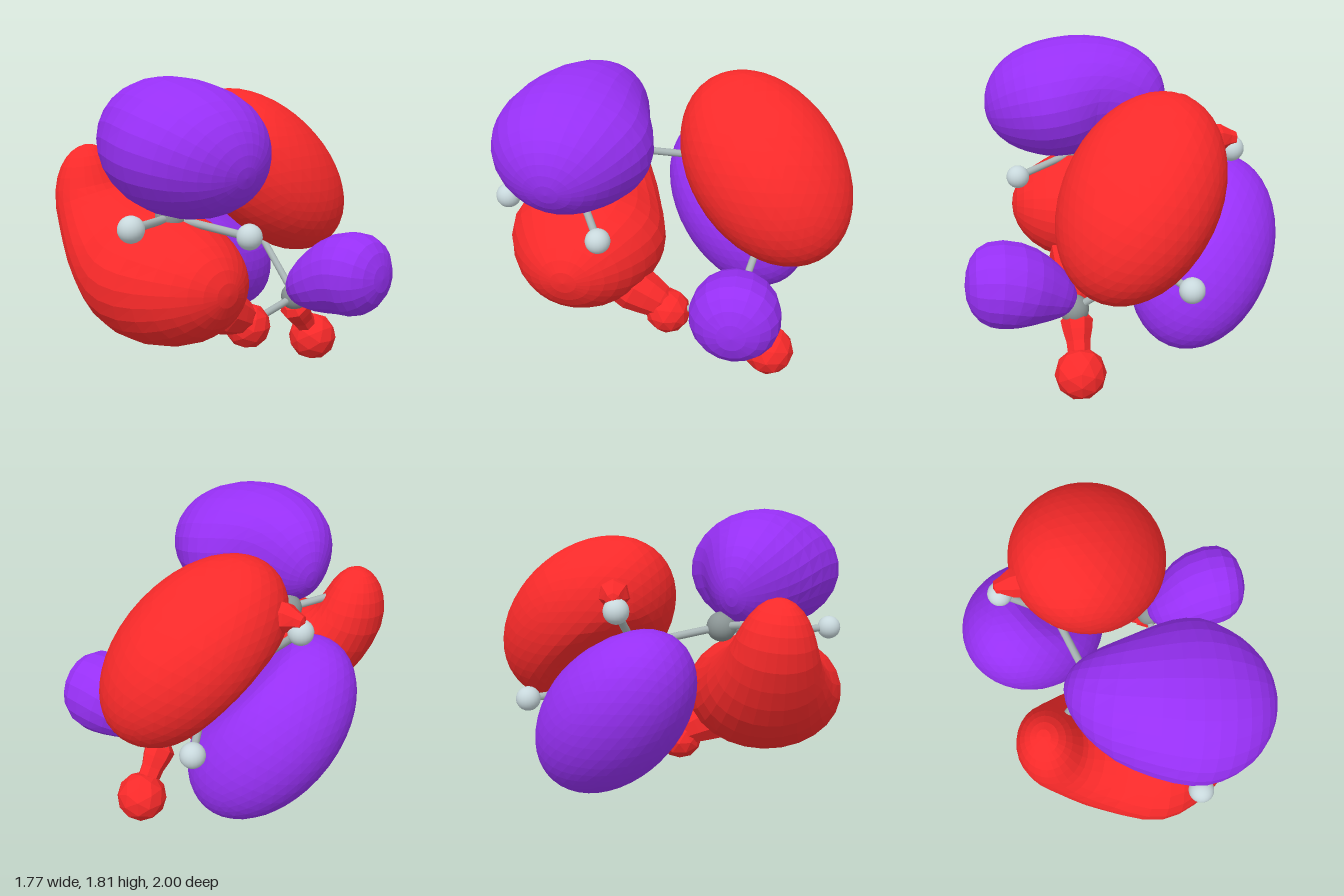
import * as THREE from 'three';

const V = (p) => new THREE.Vector3(p[0], p[1], p[2]);
const mat = (color, flatShading = false) => new THREE.MeshStandardMaterial({ color, flatShading });
const RED = mat(0xfa2a2a, true);
const PURPLE = mat(0x9730f5, true);
const CARBON = mat(0x8a9494);
const HYDROGEN = mat(0xc8d8dc);
const BOND = mat(0xa9b5b5);

export function createModel() {
  const model = new THREE.Group();
  const add = (name, geometry, material) => {
    const mesh = new THREE.Mesh(geometry, material);
    mesh.name = name;
    model.add(mesh);
    return mesh;
  };

  // Slanted ellipsoid: half extents h, slants [xy, xz, yz]; its inner side is
  // pressed flat against the molecular plane {point, normal, gap}.
  function ellipsoidLobe(name, material, centre, h, slant, plane) {
    const [xy, xz, yz] = slant;
    const a = h[0], b = xy / a, c = xz / a;
    const d = Math.sqrt(h[1] ** 2 - b * b);
    const e = (yz - b * c) / d;
    const f = Math.sqrt(h[2] ** 2 - c * c - e * e);
    const geo = new THREE.IcosahedronGeometry(1, 7);
    geo.applyMatrix4(new THREE.Matrix4().set(
      a, 0, 0, centre[0],
      b, d, 0, centre[1],
      c, e, f, centre[2],
      0, 0, 0, 1));
    const n = V(plane.normal).normalize(), p0 = V(plane.point);
    const pos = geo.attributes.position, p = new THREE.Vector3();
    for (let i = 0; i < pos.count; i++) {
      p.fromBufferAttribute(pos, i);
      const s = p.clone().sub(p0).dot(n) - plane.gap;
      // soft clamp to the outer side
      const t = (s + Math.sqrt(s * s + 0.001)) / 2;
      p.addScaledVector(n, t - s);
      pos.setXYZ(i, p.x, p.y, p.z);
    }
    geo.computeVertexNormals();
    return add(name, geo, material);
  }

  // Rounded body along a curved spine; each section is [x, y, z, width, depth],
  // with depth measured towards the ref direction.
  function spineLobe(name, material, sections, ref = [0, 0, 1], rings = 22, sides = 26) {
    const spine = new THREE.CatmullRomCurve3(sections.map(V));
    const size = new THREE.CatmullRomCurve3(sections.map((s) => V([s[3], s[4] ?? s[3], 0])));
    const verts = [], index = [];
    for (let i = 0; i <= rings; i++) {
      const v = (Math.PI * i) / rings, u = (1 - Math.cos(v)) / 2;
      const c = spine.getPoint(u), t = spine.getTangent(u), r = size.getPoint(u);
      const n = V(ref).cross(t).normalize(), b = t.clone().cross(n);
      for (let j = 0; j < sides; j++) {
        const q = (2 * Math.PI * j) / sides, k = Math.sin(v);
        const p = c.clone().addScaledVector(n, r.x * k * Math.cos(q)).addScaledVector(b, r.y * k * Math.sin(q));
        verts.push(p.x, p.y, p.z);
        if (i < rings) {
          const A = i * sides + j, B = i * sides + ((j + 1) % sides);
          index.push(A, B, A + sides, B, B + sides, A + sides);
        }
      }
    }
    const geo = new THREE.BufferGeometry();
    geo.setAttribute('position', new THREE.Float32BufferAttribute(verts, 3));
    geo.setIndex(index);
    geo.computeVertexNormals();
    return add(name, geo, material);
  }

  function knob(name, centre, radius) {
    add(name, new THREE.IcosahedronGeometry(radius, 1), RED).position.set(...centre);
  }

  // Atoms
  const carbons = [
    [0.2, 1.06, 0.55], [-0.18, 1.18, 0.28], [-0.33, 1.1, -0.2],
    [-0.13, 0.78, -0.5], [0.28, 0.45, -0.39],
  ];
  // Hydrogens: position, then the index of the carbon each is bonded to
  const hydrogens = [
    [0.33, 1.07, 0.93, 0], [0.58, 0.98, 0.34, 0], [-0.46, 1.27, 0.58, 1],
    [-0.61, 1.35, -0.26, 2], [-0.32, 0.775, -0.81, 3],
    [0.27, 0.36, 0.02, 4], [0.26, 0.14, -0.59, 4], [0.62, 0.62, -0.43, 4],
  ];
  const atom = (name, p, r, m) =>
    add(name, new THREE.SphereGeometry(r, 20, 14), m).position.set(p[0], p[1], p[2]);
  carbons.forEach((p) => atom('carbonAtom', p, 0.085, CARBON));
  hydrogens.forEach((p) => atom('hydrogenAtom', p, 0.07, HYDROGEN));

  // Bonds
  function bond(a, b) {
    const p = V(a), q = V(b), dir = q.clone().sub(p);
    const mesh = add('bond', new THREE.CylinderGeometry(0.022, 0.022, dir.length(), 10), BOND);
    mesh.position.copy(p).add(q).multiplyScalar(0.5);
    mesh.quaternion.setFromUnitVectors(new THREE.Vector3(0, 1, 0), dir.normalize());
  }
  for (let i = 0; i < 4; i++) bond(carbons[i], carbons[i + 1]);
  hydrogens.forEach((h) => bond(carbons[h[3]], h));

  // Front pair of lobes, above and below the first double bond
  spineLobe('frontUpperLobe', PURPLE, [
    [-0.31, 1.37, 0.33, 0.4, 0.29],
    [0.03, 1.455, 0.48, 0.355, 0.38],
    [0.4, 1.415, 0.535, 0.365, 0.465],
    [0.76, 1.33, 0.55, 0.4, 0.46],
  ]);
  spineLobe('frontLowerLobe', RED, [
    [-0.47, 1.4, 0.6, 0.27, 0.3],
    [-0.42, 1.08, 0.57, 0.24, 0.29],
    [-0.18, 0.83, 0.54, 0.3, 0.38],
    [0.2, 0.71, 0.535, 0.41, 0.525],
    [0.63, 0.71, 0.54, 0.46, 0.53],
  ]);

  // Back pair of lobes, either side of the second double bond
  const point = [-0.23, 0.94, -0.35];
  ellipsoidLobe('backUpperLobe', RED, [-0.085, 1.18, -0.49], [0.465, 0.51, 0.51],
    [-0.07, -0.03, 0.085], { point, normal: [0.62, 0.7, -0.33], gap: 0.02 });
  ellipsoidLobe('backLowerLobe', PURPLE, [-0.46, 0.75, -0.295], [0.428, 0.5, 0.455],
    [-0.055, -0.025, 0.085], { point, normal: [-0.62, -0.7, 0.33], gap: 0.02 });
  spineLobe('backUpperLobeTip', RED, [
    [-0.64, 1.41, -0.27, 0.08], [-0.54, 1.42, -0.28, 0.08], [-0.35, 1.4, -0.3, 0.16],
  ], [0, 0, 1], 6, 7);

  // Side lobe around the end carbon
  spineLobe('sideLobe', PURPLE, [
    [0.27, 0.48, -0.37, 0.16, 0.19], [0.45, 0.57, -0.385, 0.195, 0.21],
    [0.65, 0.65, -0.43, 0.26, 0.265], [0.885, 0.66, -0.44, 0.36],
  ], [0, 0, 1], 14, 18);

  // Small faceted knobs with their necks
  knob('frontKnob', [0.27, 0.355, 0.02], 0.135);
  spineLobe('frontKnobNeck', RED, [
    [0.27, 0.36, -0.03, 0.1], [0.265, 0.45, 0.14, 0.125], [0.25, 0.56, 0.36, 0.22],
  ], [1, 0, 0], 8, 9);
  knob('bottomKnob', [0.26, 0.145, -0.59], 0.148);
  spineLobe('bottomKnobNeck', RED, [
    [0.26, 0.18, -0.57, 0.08], [0.265, 0.29, -0.48, 0.07], [0.27, 0.42, -0.37, 0.17],
  ], [1, 0, 0], 8, 7);

  return model;
}
